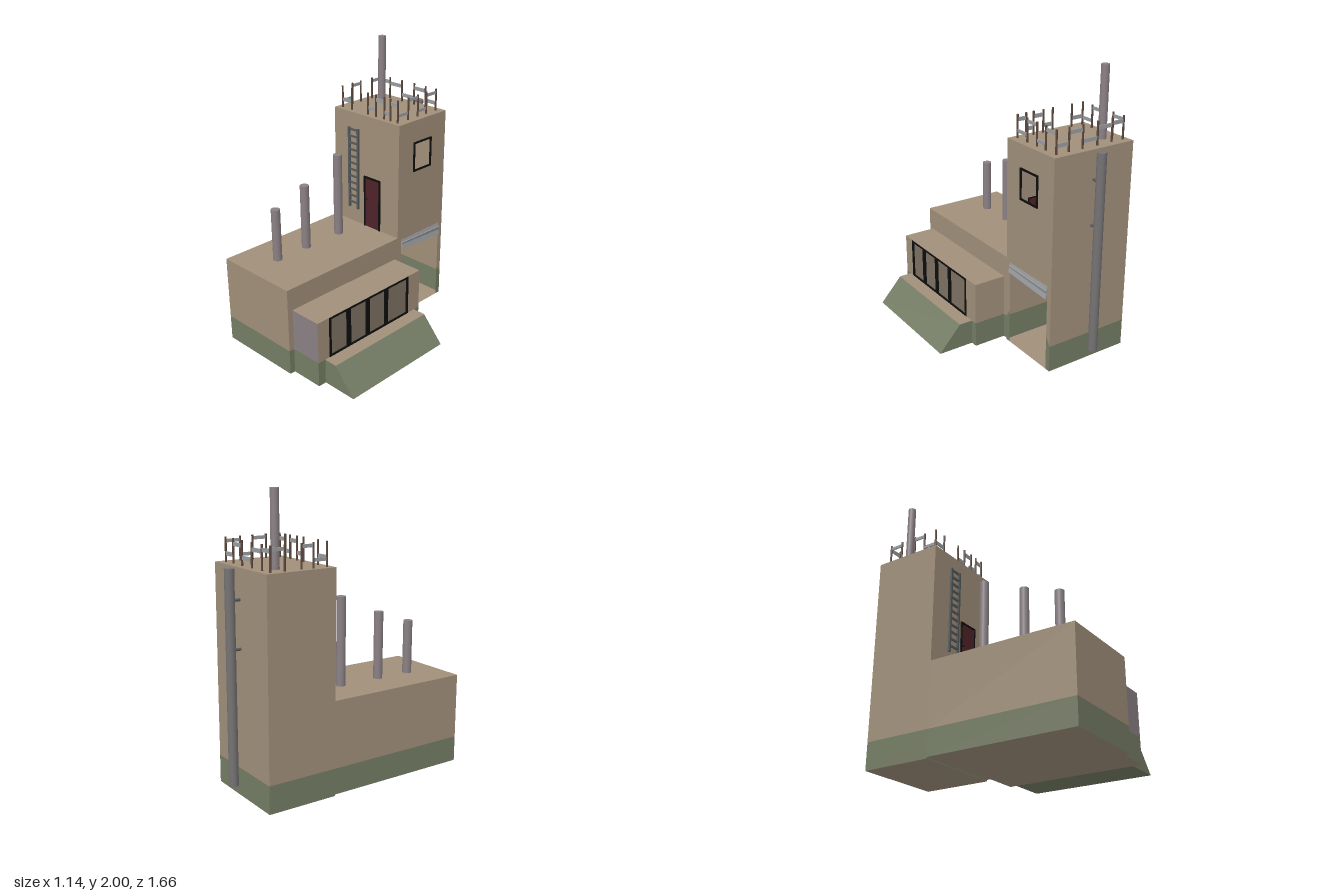
import * as THREE from 'three';

const TAN = 0xa08f7a, GREEN = 0x747c64, GREY = 0x8a8084, BLACK = 0x0d0d0d, RED = 0x4e2229;
const STEEL = 0x565a5c, SLAT = 0x9a9da0, POST = 0x5a463c, GLASS = 0x7d7161;

export function createModel() {
  const root = new THREE.Group();
  const cache = {};
  const mat = (c) => (cache[c] ??= new THREE.MeshStandardMaterial({ color: c, side: THREE.DoubleSide }));

  const add = (name, geo, color, parent = root) => {
    const m = new THREE.Mesh(geo, mat(color));
    m.name = name;
    parent.add(m);
    return m;
  };
  // Box from min and max corners
  const box = (name, color, x0, x1, y0, y1, z0, z1, parent) => {
    const m = add(name, new THREE.BoxGeometry(x1 - x0, y1 - y0, z1 - z0), color, parent);
    m.position.set((x0 + x1) / 2, (y0 + y1) / 2, (z0 + z1) / 2);
    return m;
  };
  const rect = (a0, a1, b0, b1) => [[a0, b0], [a1, b0], [a1, b1], [a0, b1]];
  const vecs = (pts) => pts.map(([a, b]) => new THREE.Vector2(a, b));
  const flat = (pts, holes = []) => {
    const s = new THREE.Shape(vecs(pts));
    for (const h of holes) s.holes.push(new THREE.Path(vecs(h).reverse()));
    return new THREE.ShapeGeometry(s);
  };
  // Thin panels: facing front (x, y), side (-z, y) and up (x, -z)
  const front = (name, color, z, pts, holes) => add(name, flat(pts, holes).translate(0, 0, z), color);
  const back = (name, color, z, pts) =>
    add(name, flat(pts.map(([x, y]) => [-x, y])).rotateY(Math.PI).translate(0, 0, z), color);
  const right = (name, color, x, pts, holes) =>
    add(name, flat(pts, holes).rotateY(Math.PI / 2).translate(x, 0, 0), color);
  const left = (name, color, x, pts) =>
    add(name, flat(pts.map(([a, y]) => [-a, y])).rotateY(-Math.PI / 2).translate(x, 0, 0), color);
  const up = (name, color, y, x0, x1, z0, z1) =>
    add(name, flat(rect(x0, x1, -z1, -z0)).rotateX(-Math.PI / 2).translate(0, y, 0), color);
  const pipe = (name, color, r, x, y0, y1, z, parent) => {
    const m = add(name, new THREE.CylinderGeometry(r, r, y1 - y0, 16), color, parent);
    m.position.set(x, (y0 + y1) / 2, z);
    return m;
  };

  // Tower: hollow shell with door, window and side gate openings
  const X0 = -0.57, X1 = 0.07, B = 0.19, TOP = 1.51;
  const doorHole = rect(-0.255, -0.115, 0.65, 1.04);
  const windowHole = rect(0.39, 0.565, 1.135, 1.345);
  front('towerFront', TAN, -0.23, rect(X0, X1, B, TOP), [doorHole]);
  front('towerFrontBase', GREEN, -0.23, rect(X0, X1, 0, B));
  right('towerRight', TAN, X1, [[0.23, B], [0.27, 0.25], [0.27, 0.62], [0.69, 0.62], [0.69, 0.25],
    [0.73, B], [0.73, TOP], [0.23, TOP]], [windowHole]);
  right('gateBaseFront', GREEN, X1, [[0.23, 0], [0.27, 0], [0.27, 0.25], [0.23, B]]);
  right('gateBaseBack', GREEN, X1, [[0.69, 0], [0.73, 0], [0.73, B], [0.69, 0.25]]);
  back('towerBack', TAN, -0.73, rect(X0, X1, B, TOP));
  back('towerBackBase', GREEN, -0.73, rect(X0, X1, 0, B));
  left('towerLeft', TAN, X0, rect(0.23, 0.73, B, TOP));
  left('towerLeftBase', GREEN, X0, rect(0.23, 0.73, 0, B));
  up('towerRoof', TAN, TOP, X0, X1, -0.73, -0.23);
  up('towerFloor', TAN, 0, X0, X1, -0.73, -0.23);

  // Front block
  front('blockFront', TAN, 0.83, rect(X0, X1, B, 0.65));
  front('blockFrontBase', GREEN, 0.83, rect(X0, X1, 0.01, B));
  right('blockRight', TAN, X1, rect(-0.83, 0.23, B, 0.65));
  right('blockRightBase', GREEN, X1, rect(-0.83, 0.23, 0.01, B));
  left('blockLeft', TAN, X0, rect(-0.83, 0.23, B, 0.65));
  left('blockLeftBase', GREEN, X0, rect(-0.83, 0.23, 0.01, B));
  up('blockRoof', TAN, 0.65, X0, X1, -0.23, 0.83);
  up('blockFloor', TAN, 0.01, X0, X1, -0.23, 0.83);

  // Side annex
  const A = 0.31;
  front('annexFront', GREY, 0.79, rect(X1, A, B, 0.49));
  front('annexFrontBase', GREEN, 0.79, rect(X1, A, 0.01, B));
  back('annexBack', TAN, -0.2, rect(X1, A, B, 0.49));
  back('annexBackBase', GREEN, -0.2, rect(X1, A, 0.01, B));
  right('annexSide', TAN, A, rect(-0.79, 0.2, B, 0.49), [rect(-0.685, 0.075, 0.195, 0.485)]);
  right('annexSideBase', GREEN, A, rect(-0.79, 0.2, 0.01, B));
  up('annexRoof', TAN, 0.49, X1, A, -0.2, 0.79);
  up('annexFloor', TAN, 0.01, X1, A, -0.2, 0.79);

  // Annex window band: panes, frame and posts
  const band = new THREE.Group();
  band.name = 'annexWindows';
  root.add(band);
  box('panes', GLASS, 0.3, 0.304, 0.195, 0.485, -0.075, 0.685, band);
  box('frameTop', BLACK, 0.3, 0.314, 0.475, 0.488, -0.08, 0.69, band);
  box('frameBottom', BLACK, 0.3, 0.314, 0.191, 0.202, -0.08, 0.69, band);
  for (const [z, w] of [[0.681, 0.018], [0.51, 0.036], [0.328, 0.034], [0.146, 0.032], [-0.072, 0.016]])
    box('framePost', BLACK, 0.3, 0.314, 0.191, 0.488, z - w / 2, z + w / 2, band);

  // Sloped bank below the windows with a flat ledge on top
  const bank = new THREE.ExtrudeGeometry(
    new THREE.Shape(vecs([[A, 0.01], [0.57, 0.01], [0.41, 0.188], [A, 0.188]])),
    { depth: 0.88, bevelEnabled: false });
  add('slopedBank', bank.translate(0, 0, -0.15), GREEN);
  up('ledge', TAN, 0.19, A, 0.41, -0.15, 0.73);

  // Rectangular frame in the x-y plane, built round a centre
  const frame = (name, w, h, t, sill) => {
    const g = new THREE.Group();
    g.name = name;
    root.add(g);
    for (const s of [-1, 1])
      box('frameSide', BLACK, s * w / 2 - t / 2, s * w / 2 + t / 2, -h / 2, h / 2, -0.005, 0.005, g);
    box('frameTop', BLACK, -w / 2, w / 2, h / 2 - t, h / 2, -0.005, 0.005, g);
    if (sill) box('frameSill', BLACK, -w / 2, w / 2, -h / 2, -h / 2 + t, -0.005, 0.005, g);
    return g;
  };
  frame('doorFrame', 0.148, 0.4, 0.013, false).position.set(-0.185, 0.85, -0.226);
  box('door', RED, -0.255, -0.115, 0.65, 1.04, -0.233, -0.227);
  const knob = add('doorKnob', new THREE.SphereGeometry(0.01, 10, 8), BLACK);
  knob.position.set(-0.243, 0.875, -0.222);
  const win = frame('towerWindowFrame', 0.178, 0.222, 0.012, true);
  win.position.set(0.074, 1.24, -0.477);
  win.rotation.y = Math.PI / 2;

  // Crooked roller shutter slats over the gate
  for (let i = 0; i < 3; i++) {
    const s = box('shutterSlat', SLAT, -0.003, 0.003, -0.017, 0.017, -0.21, 0.21);
    s.position.set(0.071 + i * 0.004, 0.607 - i * 0.023, -0.48);
    s.rotation.set(-0.03 * i, 0, i % 2 ? -0.25 : 0.2);
  }

  // Chimney pipes
  for (const [z, h] of [[0, 1.265], [0.32, 1.125], [0.585, 1.03]])
    pipe('blockPipe', GREY, 0.032, -0.31, 0.65, h, z);
  pipe('towerPipe', GREY, 0.028, -0.43, TOP, 2, -0.585);

  // Drain pipe with brackets on the back
  pipe('drainPipe', 0x757273, 0.032, -0.245, 0.1, TOP, -0.8);
  for (const y of [0.995, 1.31]) {
    const b = add('drainBracket', new THREE.CylinderGeometry(0.01, 0.01, 0.07, 8), STEEL);
    b.rotation.x = Math.PI / 2;
    b.position.set(-0.245, y, -0.765);
  }

  // Ladder
  const ladder = new THREE.Group();
  ladder.name = 'ladder';
  root.add(ladder);
  for (const x of [-0.404, -0.316])
    box('ladderRail', STEEL, x - 0.008, x + 0.008, 0.77, 1.4, -0.22, -0.205, ladder);
  for (let i = 0; i < 12; i++) {
    const y = 0.815 + i * 0.052;
    box('ladderRung', STEEL, -0.404, -0.316, y - 0.007, y + 0.007, -0.217, -0.207, ladder);
  }

  // Broken roof railing: posts, then slats [start, end, height] on each run
  const rail = new THREE.Group();
  rail.name = 'roofRailing';
  root.add(rail);
  const post = (x, z) => pipe('railPost', POST, 0.007, x, TOP, 1.67, z, rail);
  [-0.525, -0.43, -0.31, -0.19, -0.08, 0.018].forEach((x) => post(x, -0.677));
  [-0.525, -0.43, -0.267, -0.19, -0.11, -0.05, 0.018].forEach((x) => post(x, -0.27));
  [-0.572, -0.48, -0.378].forEach((z) => post(0.018, z));
  [-0.577, -0.457, -0.37].forEach((z) => post(-0.525, z));
  const runX = (z, list) => list.forEach(([a, b, y]) =>
    box('railSlat', SLAT, a, b, y - 0.013, y + 0.013, z - 0.004, z + 0.004, rail));
  const runZ = (x, list) => list.forEach(([a, b, y]) =>
    box('railSlat', SLAT, x - 0.004, x + 0.004, y - 0.011, y + 0.011, a, b, rail));
  runX(-0.677, [[-0.525, -0.43, 1.635], [-0.43, -0.31, 1.625], [-0.31, -0.19, 1.56],
    [-0.19, -0.08, 1.635], [-0.08, 0.018, 1.565]]);
  runX(-0.27, [[-0.525, -0.43, 1.57], [-0.267, -0.19, 1.56], [-0.19, -0.11, 1.635],
    [-0.11, -0.05, 1.56], [-0.05, 0.018, 1.635]]);
  runZ(0.018, [[-0.378, -0.27, 1.56], [-0.48, -0.378, 1.65], [-0.572, -0.48, 1.55], [-0.677, -0.572, 1.645]]);
  runZ(-0.525, [[-0.37, -0.27, 1.56], [-0.457, -0.37, 1.65], [-0.677, -0.577, 1.645]]);

  return root;
}
